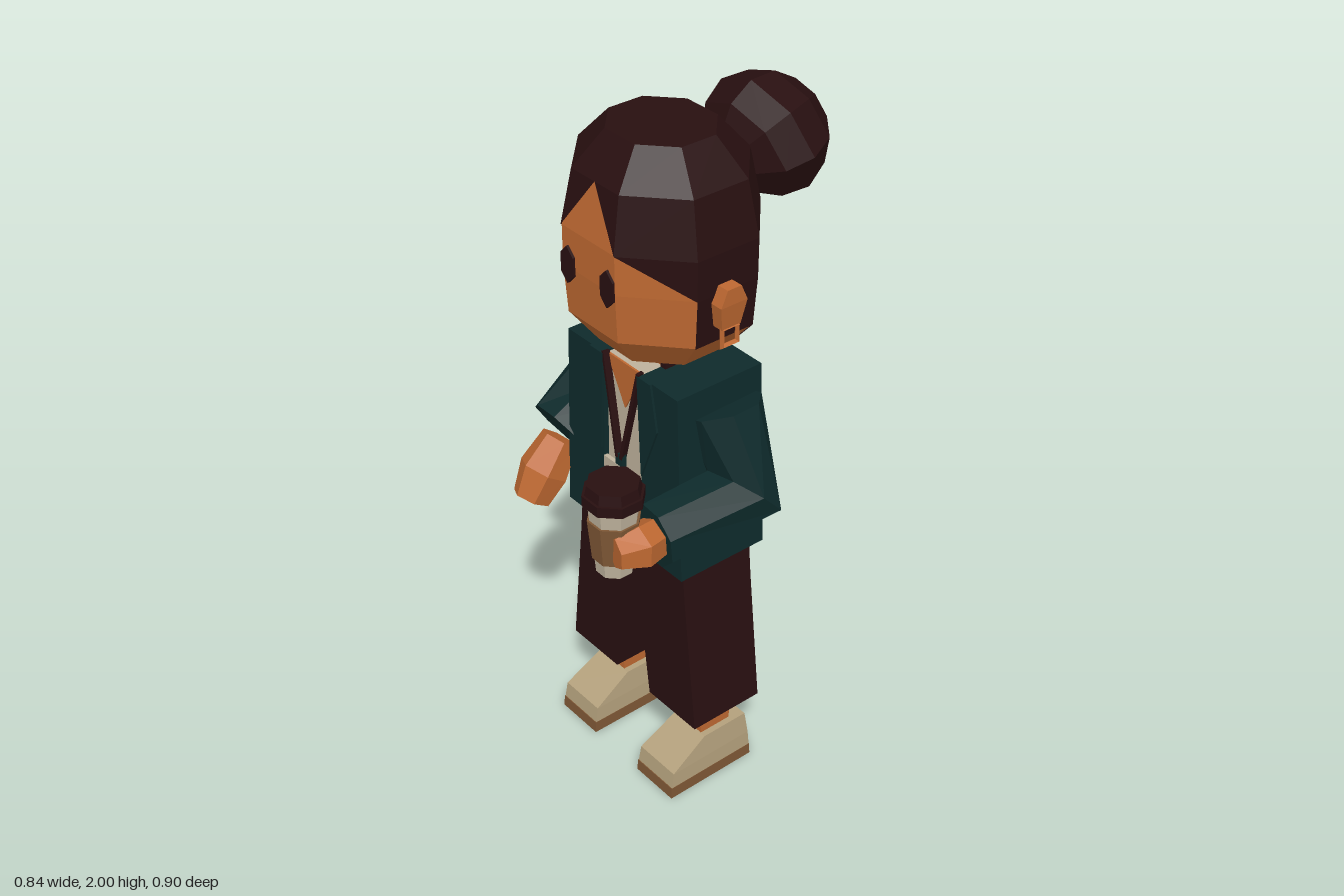
import * as THREE from 'three';

const mat = (name, hex) => {
  const m = new THREE.MeshStandardMaterial({ color: hex });
  m.name = name;
  m.flatShading = true;
  m.side = THREE.DoubleSide;
  return m;
};
const V = (x, y, z) => new THREE.Vector3(x, y, z);
const CX = 0.02; // middle line of the body

// Skin a list of equal-length rings, skipping triangles without area
function loft(rings, capStart = true, capEnd = true) {
  const out = [];
  const tri = (a, b, c) => {
    if (b.clone().sub(a).cross(c.clone().sub(a)).length() > 1e-7)
      for (const p of [a, b, c]) out.push(p.x, p.y, p.z);
  };
  const n = rings[0].length, last = rings[rings.length - 1];
  for (let i = 0; i < rings.length - 1; i++)
    for (let j = 0; j < n; j++) {
      const k = (j + 1) % n;
      tri(rings[i][j], rings[i][k], rings[i + 1][k]);
      tri(rings[i][j], rings[i + 1][k], rings[i + 1][j]);
    }
  for (let j = 1; j < n - 1; j++) {
    if (capStart) tri(rings[0][0], rings[0][j + 1], rings[0][j]);
    if (capEnd) tri(last[0], last[j], last[j + 1]);
  }
  const g = new THREE.BufferGeometry();
  g.setAttribute('position', new THREE.Float32BufferAttribute(out, 3));
  g.computeVertexNormals();
  return g;
}

// Horizontal rectangle, used as a section of tapered blocks
const rect = (y, x0, x1, z0, z1) => [V(x0, y, z1), V(x1, y, z1), V(x1, y, z0), V(x0, y, z0)];

// Faceted limb through points [x, y, z, radius]
function limb(path, sides = 8) {
  const c = path.map(p => V(p[0], p[1], p[2]));
  return loft(path.map((p, i) => {
    const t = c[Math.min(i + 1, c.length - 1)].clone().sub(c[Math.max(i - 1, 0)]).normalize();
    const u = V(1, 0, 0).addScaledVector(t, -t.x).normalize();
    const v = t.clone().cross(u);
    return Array.from({ length: sides }, (_, j) => {
      const a = (j + 0.5) / sides * Math.PI * 2;
      return c[i].clone().addScaledVector(u, p[3] * Math.cos(a)).addScaledVector(v, p[3] * Math.sin(a));
    });
  }));
}

const shape = pts => new THREE.Shape(pts.map(p => new THREE.Vector2(p[0], p[1])));
const plate = (pts, depth) => new THREE.ExtrudeGeometry(shape(pts), { depth, bevelEnabled: false });
// Side profile in (z, y), given a thickness along x
const sideProfile = (pts, w) => plate(pts, w).translate(0, 0, -w / 2).rotateY(-Math.PI / 2);

// Octagonal head: height and scale of each level
const LEVELS = [[1.385, 0.66], [1.48, 0.96], [1.62, 1], [1.73, 1], [1.88, 0.88], [1.975, 0.55]];
function headScale(y) {
  for (let i = 1; i < LEVELS.length; i++) {
    const [y0, s0] = LEVELS[i - 1], [y1, s1] = LEVELS[i];
    if (y <= y1) return s0 + (s1 - s0) * (y - y0) / (y1 - y0);
  }
  return 0.55;
}
function headPoint(deg, y, k) {
  const a = deg * Math.PI / 180;
  const r = headScale(y) * k * (deg === 0 ? Math.cos(Math.PI / 8) : 1);
  return V(CX + 0.276 * r * Math.sin(a), y, 0.035 + 0.254 * r * Math.cos(a));
}

export function createModel() {
  const root = new THREE.Group();
  root.name = 'woman';
  const dark = mat('dark brown', 0x280f10), skin = mat('skin', 0xbd6831);
  const teal = mat('dark teal', 0x0e2a2b), cream = mat('cream', 0xbdb19b);
  const beige = mat('shoe beige', 0xb3a07c), tan = mat('tan brown', 0x7e5735);

  const add = (name, geo, m, parent = root) => {
    const mesh = new THREE.Mesh(geo, m);
    mesh.name = name;
    parent.add(mesh);
    return mesh;
  };
  const box = (name, m, x, y, z, w, h, d, parent = root) => {
    const mesh = add(name, new THREE.BoxGeometry(w, h, d), m, parent);
    mesh.position.set(x, y, z);
    return mesh;
  };
  // Flat strip between two points
  const strip = (name, m, a, b, w, t) => {
    const s = add(name, new THREE.BoxGeometry(w, t, a.distanceTo(b) + t), m);
    s.position.copy(a).lerp(b, 0.5);
    s.lookAt(b);
    return s;
  };

  // Head
  const corners = [0, 1, 2, 3, 4, 5, 6, 7].map(i => 22.5 + 45 * i);
  add('head', loft(LEVELS.slice(0, 5).map(([y]) => corners.map(d => headPoint(d, y, 0.988)))), skin);

  // Hair shell: angle and lower edge of each column
  const half = [[22.5, 1.73], [67.5, 1.62], [67.5, 1.48], [112.5, 1.48], [112.5, 1.385], [157.5, 1.385]];
  const columns = [[0, 1.88], ...half, ...half.map(([d, y]) => [-d, y]).reverse()];
  add('hair', loft(LEVELS.map(([y]) => columns.map(([d, low]) => headPoint(d, Math.max(y, low), 1))), false), dark);
  const bun = add('hairBun', new THREE.SphereGeometry(1, 8, 6), dark);
  bun.rotation.x = -1.25;
  bun.scale.set(0.185, 0.152, 0.168);
  bun.position.set(CX, 1.84, -0.305);

  // Eyes, ears and earrings
  for (const s of [-1, 1]) {
    const eye = add('eye', new THREE.CylinderGeometry(1, 1, 0.008, 6).rotateX(Math.PI / 2), dark);
    eye.scale.set(0.029, 0.053, 1);
    eye.position.set(CX + s * 0.079, 1.63, 0.27);
    const ear = add('ear', loft([
      rect(1.53, -0.03, 0.025, -0.03, 0.03), rect(1.6, -0.03, 0.035, -0.042, 0.042),
      rect(1.645, -0.03, 0.035, -0.022, 0.022)]), skin);
    ear.position.set(CX + s * 0.256, 0, 0.045);
    ear.rotation.y = s < 0 ? Math.PI : 0;
    const ring = add('earring', new THREE.TorusGeometry(0.035, 0.009, 4, 4).rotateZ(Math.PI / 4).rotateY(Math.PI / 2), skin);
    ring.position.set(CX + s * 0.275, 1.505, 0.045);
  }

  // Neck, shirt and belt
  box('neck', skin, CX, 1.35, 0.03, 0.14, 0.14, 0.12);
  box('shirt', cream, CX, 1.075, 0.07, 0.2, 0.51, 0.17);
  box('belt', tan, CX, 0.803, 0.07, 0.2, 0.045, 0.18);
  add('neckline', plate([[-0.055, 1.333], [CX, 1.195], [0.095, 1.333]], 0.006), skin).position.z = 0.154;

  // Open jacket: back and two front panels with lapels
  add('jacketBack', loft([rect(0.77, -0.225, 0.265, -0.118, 0.08), rect(1.335, -0.205, 0.245, -0.11, 0.08)]), teal);
  for (const s of [-1, 1]) {
    const px = (...v) => v.map(([x, y]) => [CX + s * x, y]);
    add('jacketFront', plate(px([0.083, 0.77], [0.245, 0.77], [0.225, 1.335], [0.075, 1.335]), 0.12), teal).position.z = 0.05;
    add('lapel', plate(px([0.07, 1.335], [0.125, 1.335], [0.15, 1.2], [0.085, 1.03]), 0.009), teal).position.z = 0.168;
    box('lanyardNeckBand', dark, CX + s * 0.083, 1.35, 0.02, 0.02, 0.04, 0.16);
    strip('lanyard', dark, V(CX + s * 0.07, 1.335, 0.166), V(CX + s * 0.008, 1.05, 0.176), 0.02, 0.01);
  }
  box('lanyardNeckBack', dark, CX, 1.35, -0.055, 0.18, 0.04, 0.02);

  // Name badge
  box('badgeClip', teal, CX, 1.035, 0.176, 0.03, 0.045, 0.014);
  box('badgeCard', cream, CX - 0.003, 0.94, 0.178, 0.122, 0.16, 0.012);
  box('badgePhoto', skin, CX - 0.013, 0.955, 0.186, 0.064, 0.08, 0.006);
  box('badgeLine', tan, CX, 0.888, 0.185, 0.085, 0.012, 0.004);

  // Arms and hands
  add('rightSleeve', limb([[-0.18, 1.25, 0.0, 0.09], [-0.285, 1.06, 0.0, 0.108], [-0.285, 0.965, 0.15, 0.098]]), teal);
  add('rightHand', limb([[-0.275, 0.94, 0.16, 0.055], [-0.275, 0.86, 0.222, 0.072], [-0.275, 0.785, 0.268, 0.055]], 6), skin);
  add('leftSleeve', limb([[0.23, 1.25, 0.01, 0.11], [0.31, 1.02, 0.005, 0.118], [0.288, 0.995, 0.285, 0.09]]), teal);
  add('leftHand', limb([[0.295, 1.0, 0.27, 0.055], [0.31, 1.005, 0.35, 0.062], [0.295, 1.005, 0.412, 0.045]], 6), skin);

  // Coffee cup
  const cup = new THREE.Group();
  cup.name = 'cup';
  cup.position.set(0.238, 0, 0.37);
  root.add(cup);
  const round = (name, m, y0, y1, r0, r1) => {
    const g = new THREE.CylinderGeometry(r1, r0, y1 - y0, 8).rotateY(Math.PI / 8);
    add(name, g, m, cup).position.y = (y0 + y1) / 2;
  };
  round('cupBody', cream, 0.905, 1.13, 0.05, 0.07);
  round('cupSleeve', tan, 0.95, 1.07, 0.06, 0.071);
  round('cupLidRim', dark, 1.12, 1.15, 0.083, 0.083);
  round('cupLidTop', dark, 1.15, 1.178, 0.076, 0.07);

  // Trousers, ankles and shoes
  box('hips', dark, CX, 0.72, 0.027, 0.44, 0.15, 0.234);
  for (const s of [-1, 1]) {
    const sect = (y, a, b) => rect(y, CX + Math.min(s * a, s * b), CX + Math.max(s * a, s * b), -0.09, 0.145);
    add('trouserLeg', loft([sect(0.245, 0.075, 0.276), sect(0.66, 0.018, 0.23), sect(0.77, 0, 0.22)]), dark);
    box('ankle', skin, CX + s * 0.177, 0.2, 0.025, 0.095, 0.12, 0.105);
    const x = CX + s * 0.177;
    add('shoe', loft([
      rect(0.035, x - 0.076, x + 0.076, -0.083, 0.208), rect(0.085, x - 0.074, x + 0.074, -0.079, 0.2),
      rect(0.155, x - 0.066, x + 0.066, -0.072, 0.08)]), beige);
    add('shoeSole', loft([rect(0, x - 0.078, x + 0.078, -0.085, 0.212), rect(0.036, x - 0.077, x + 0.077, -0.084, 0.21)]), tan);
  }

  // Shoulder bag, tilted, with a raised rim around its top
  const bag = new THREE.Group();
  bag.name = 'bag';
  bag.position.set(-0.337, 0.79, -0.19);
  bag.rotation.x = -0.25;
  root.add(bag);
  add('bagBody', sideProfile([[-0.155, -0.165], [0.155, -0.165], [0.193, -0.13], [0.193, 0.135],
    [-0.193, 0.135], [-0.193, -0.13]], 0.165), dark, bag);
  for (const s of [-1, 1]) {
    box('bagRimSide', dark, s * 0.07, 0.15, 0, 0.025, 0.032, 0.386, bag);
    box('bagRimEnd', dark, 0, 0.15, s * 0.18, 0.12, 0.032, 0.026, bag);
  }

  // Strap over the shoulder
  const strap = [V(-0.335, 0.9, -0.355), V(-0.205, 1.32, -0.135), V(-0.2, 1.36, -0.095), V(-0.2, 1.36, -0.06),
    V(-0.23, 1.25, 0.0), V(-0.3, 0.96, 0.0)];
  for (let i = 1; i < strap.length; i++) strip('bagStrap', dark, strap[i - 1], strap[i], 0.046, 0.016);

  return root;
}
